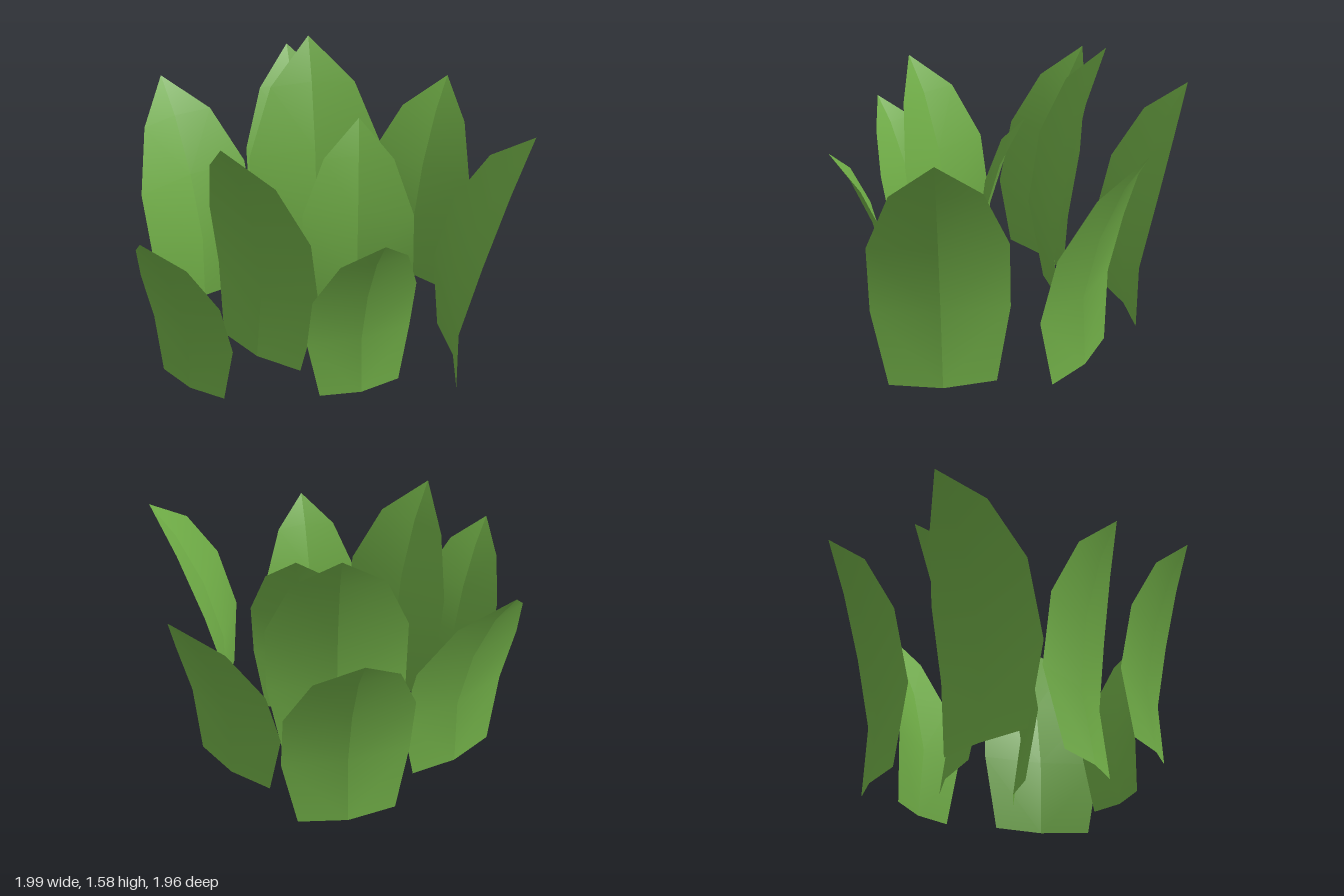
import * as THREE from 'three';

// Leaf cross-sections: [height fraction, half width, spine depth, edge depth]
const ROWS = [
  [0, 0.28, 0.025, -0.013],
  [0.316, 0.355, 0, -0.048],
  [0.61, 0.345, 0.087, 0.042],
  [0.85, 0.215, 0.217, 0.182],
  [1, 0, 0.343, 0.343],
];

// Folded leaf curling outward (+z), creased along its spine
function leafGeometry(size, height, upright) {
  const positions = [];
  const index = [];
  for (const side of [1, -1]) {
    const start = positions.length / 3;
    ROWS.forEach(([t, width, spine, edge], i) => {
      const shift = upright * (t - ROWS[1][0]);
      const lift = i === 0 ? 0.008 : 0;
      positions.push(0, t * height, (spine - shift) * size);
      positions.push(side * width * size, t * height + lift, (edge - shift) * size);
    });
    for (let i = 0; i < ROWS.length - 1; i++) {
      const a = start + i * 2, b = a + 1, c = a + 2, d = a + 3;
      const last = i === ROWS.length - 2;
      if (side > 0) index.push(a, b, last ? c : d);
      else index.push(a, last ? c : d, b);
      if (!last) {
        if (side > 0) index.push(a, d, c);
        else index.push(a, c, d);
      }
    }
    // tip is one shared vertex per half, its twin stays unused
  }
  const geometry = new THREE.BufferGeometry();
  geometry.setAttribute('position', new THREE.Float32BufferAttribute(positions, 3));
  geometry.setIndex(index);
  geometry.computeVertexNormals();
  return geometry;
}

// [name, x, z, outward x, outward z, size, base y, tip y, upright]
const LEAVES = [
  ['backLeaf', -0.01, -0.65, -0.04, -0.34, 0.98, 0, 1.35, 0],
  ['backRightLeaf', -0.66, -0.27, -0.16, -0.3, 0.98, 0.025, 1.37, 0],
  ['backLeftLeaf', 0.61, -0.27, 0.22, -0.23, 0.95, 0.035, 1.28, 0],
  ['frontRightLeaf', -0.79, 0.51, -0.18, 0.19, 0.757, 0.02, 1.07, 0],
  ['leftLeaf', 0.65, 0.47, 0.34, 0.03, 1, 0, 1.36, 0],
  ['frontLeaf', 0.09, 0.71, 0.04, 0.27, 0.794, 0.04, 1.12, 0],
  ['innerBackLeaf', 0.01, -0.21, 0, -0.29, 1.1, 0.065, 1.58, 0.12],
  ['innerLeftLeaf', 0.17, 0.195, 0.04, -0.23, 0.87, 0.065, 1.28, 0.12],
  ['innerRightLeaf', -0.38, 0.335, -0.18, 0.175, 0.975, 0.065, 1.43, 0.12],
];

export function createModel() {
  const leafGreen = new THREE.MeshStandardMaterial({ color: 0x6fac46, side: THREE.DoubleSide });
  leafGreen.name = 'leafGreen';
  const plant = new THREE.Group();
  plant.name = 'leafCluster';
  for (const [name, x, z, dx, dz, size, base, tip, upright] of LEAVES) {
    const leaf = new THREE.Mesh(leafGeometry(size, tip - base, upright), leafGreen);
    leaf.name = name;
    leaf.position.set(x, base, z);
    leaf.rotation.y = Math.atan2(dx, dz);
    plant.add(leaf);
  }
  return plant;
}
